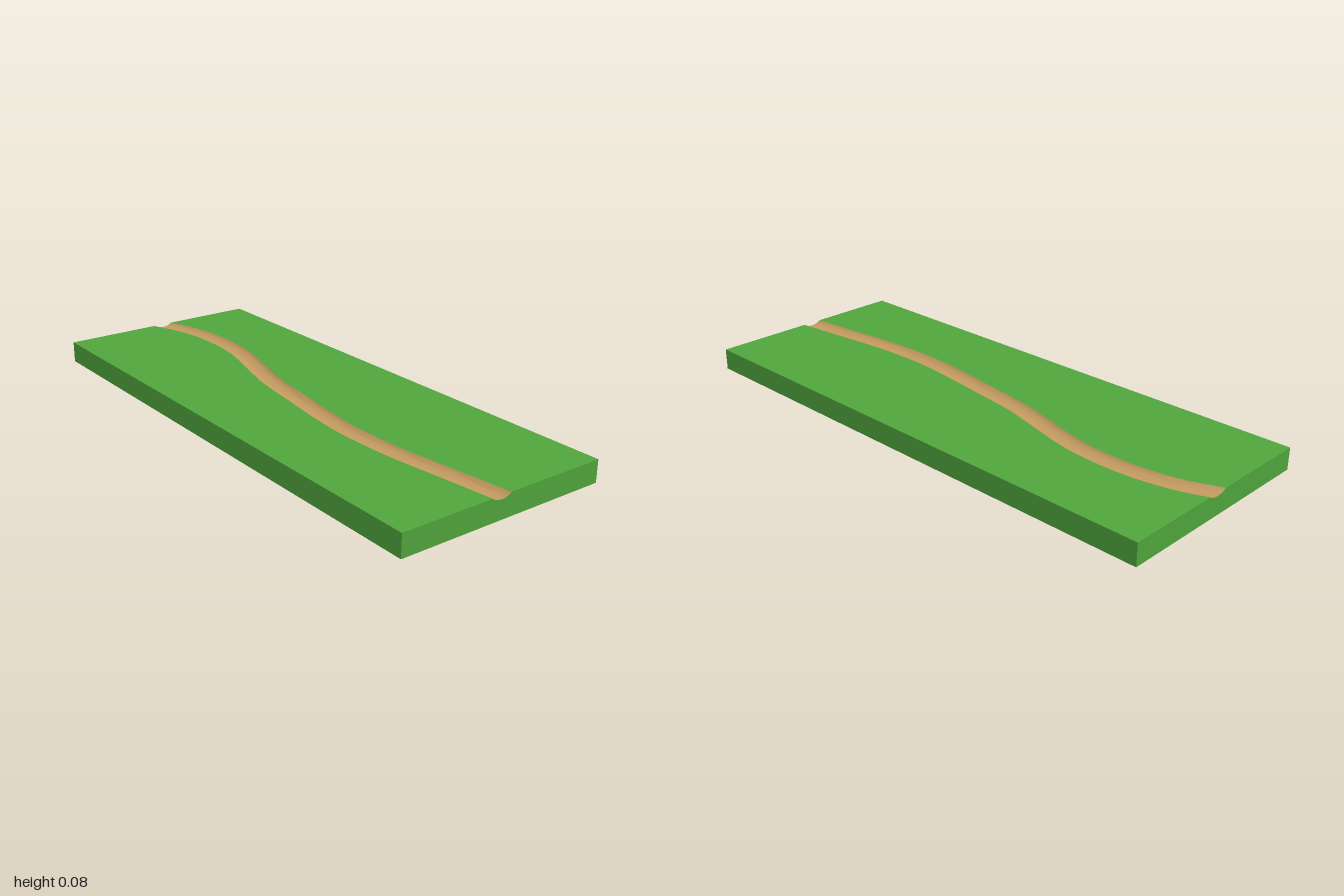
import * as THREE from 'three';
import { toCreasedNormals, mergeGeometries } from 'three/addons/utils/BufferGeometryUtils.js';

const W = 0.4, L = 1, H = 0.08;          // half width, half length, height
const HALF = 0.0375, DEPTH = 0.012;      // channel half width and depth
const ARC = 8;                           // facets across the channel

// Centre line of the winding channel as [z, x]
const path = new THREE.CatmullRomCurve3([
  [-1, 0.01], [-0.9, 0.05], [-0.765, 0.078], [-0.64, 0.084], [-0.5, 0.073],
  [-0.36, 0.04], [-0.18, -0.008], [0, -0.034], [0.2, -0.061], [0.35, -0.075],
  [0.46, -0.075], [0.6, -0.068], [0.8, -0.043], [1, -0.019],
].map(([z, x]) => new THREE.Vector3(x, 0, z)));

// Stations along the slab: z, channel centre and half width measured along x
const stations = [];
for (let i = 0; i <= 26; i++) {
  const p = path.getPoint(i / 26), t = path.getTangent(i / 26);
  stations.push({ z: p.z, cx: p.x, hw: HALF / t.z });
}

// Channel cross-section from left edge to right edge, as [x, y]
function channelProfile({ cx, hw }) {
  const pts = [];
  for (let i = 0; i <= ARC; i++) {
    const u = -Math.cos(Math.PI * i / ARC);
    pts.push([cx + hw * u, H - DEPTH * Math.pow(1 - u * u, 0.75)]);
  }
  return pts;
}

// Outer cross-section of the slab, from right channel edge round to the left one
function slabProfile({ cx, hw }) {
  return [[cx + hw, H], [W, H], [W, 0], [-W, 0], [-W, H], [cx - hw, H]];
}

// Joins one cross-section per station into a skin
function loft(profile) {
  const pos = [], index = [];
  const rows = stations.map(s => profile(s).map(([x, y]) => [x, y, s.z]));
  const n = rows[0].length;
  rows.forEach(row => row.forEach(p => pos.push(...p)));
  for (let r = 0; r < rows.length - 1; r++) {
    for (let k = 0; k < n - 1; k++) {
      const a = r * n + k, b = a + 1, c = a + n, d = c + 1;
      index.push(a, c, b, b, c, d);
    }
  }
  const g = new THREE.BufferGeometry();
  g.setAttribute('position', new THREE.Float32BufferAttribute(pos, 3));
  g.setIndex(index);
  g.computeVertexNormals();
  return toCreasedNormals(g, Math.PI / 5);
}

// Notched end face; flip makes it face backwards
function endCap(station, flip) {
  const s = flip ? -1 : 1;
  const outline = [[-W, 0], [W, 0], [W, H], ...channelProfile(station).reverse(), [-W, H]];
  const g = new THREE.ShapeGeometry(
    new THREE.Shape(outline.map(([x, y]) => new THREE.Vector2(s * x, y))));
  if (flip) g.rotateY(Math.PI);
  g.translate(0, 0, station.z);
  g.deleteAttribute('uv');
  return g.toNonIndexed();
}

export function createModel() {
  const group = new THREE.Group();
  group.name = 'pathTile';

  // Grass slab: top strips, sides, bottom and both notched ends
  const slab = new THREE.Mesh(
    mergeGeometries([
      loft(slabProfile),
      endCap(stations[stations.length - 1], false),
      endCap(stations[0], true),
    ]),
    new THREE.MeshStandardMaterial({ color: 0x50a53c }));
  slab.name = 'grassSlab';

  // Sunken dirt path
  const dirt = new THREE.Mesh(
    loft(channelProfile),
    new THREE.MeshStandardMaterial({ color: 0xc49a60, side: THREE.DoubleSide }));
  dirt.name = 'dirtPath';

  group.add(slab, dirt);
  return group;
}
